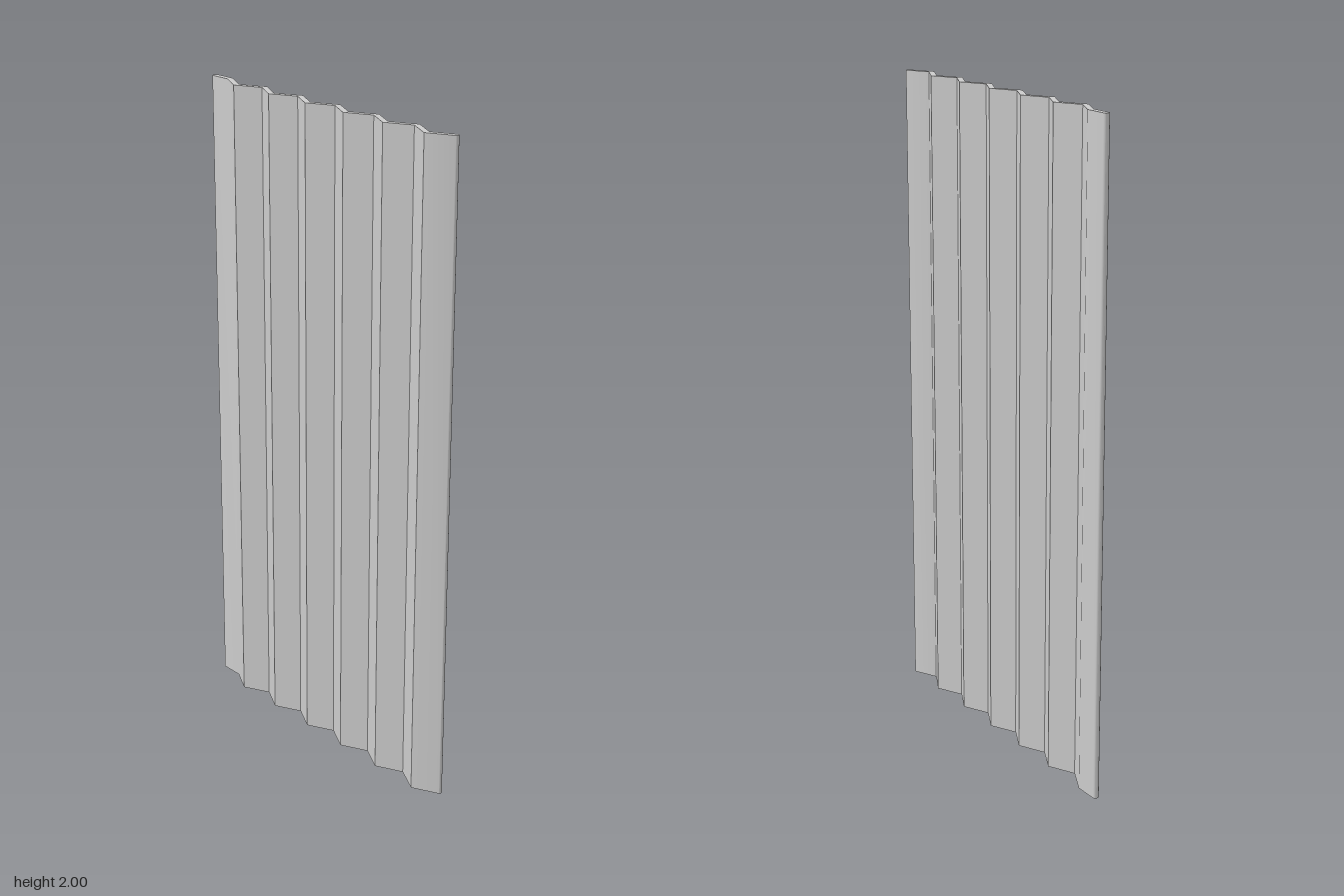
import * as THREE from 'three';
import { toCreasedNormals } from 'three/addons/utils/BufferGeometryUtils.js';

const HEIGHT = 2;
const HALF_X = 0.0097;  // half of the sheet's thickness, measured along x
const PEAK = 0.0205;    // centre line swings between -PEAK and +PEAK
const STEP = 0.0806;    // z distance from one fold to the next
const FIRST = -0.445;   // z of the first fold

// Rounded end of the sheet: tip point, outward direction, half width and corner radius
function endCap(tip, dir, half, radius) {
  const side = new THREE.Vector2(-dir.y, dir.x);
  const points = [];
  for (const s of [1, -1]) {
    for (let i = 0; i <= 3; i++) {
      const a = (s > 0 ? 3 - i : i) * Math.PI / 6;
      const along = -radius + radius * Math.cos(a);
      const across = s * (half - radius + radius * Math.sin(a));
      points.push(tip.clone().addScaledVector(dir, along).addScaledVector(side, across));
    }
  }
  return points;
}

export function createModel() {
  const group = new THREE.Group();
  group.name = 'corrugatedPanel';

  // Folds of the centre line, drawn in the plane as (x, z)
  const folds = [];
  for (let i = 0; i < 12; i++) {
    folds.push(new THREE.Vector2(i % 2 ? -PEAK : PEAK, FIRST + i * STEP));
  }
  const shifted = (dx) => folds.map((p) => new THREE.Vector2(p.x + dx, p.y));

  // Straight lip at the back, sloping lip at the front
  const slope = new THREE.Vector2(2 * PEAK, STEP).normalize();
  const backCap = endCap(new THREE.Vector2(PEAK, -0.524), new THREE.Vector2(0, -1), HALF_X, 0.008);
  const frontTip = folds[11].clone().addScaledVector(slope, 0.0895);
  const frontCap = endCap(frontTip, slope, HALF_X * slope.y, 0.006);

  // Closed outline: back cap, +x face, front cap, -x face
  const outline = [
    ...backCap.reverse(),
    ...shifted(-HALF_X),
    ...frontCap,
    ...shifted(HALF_X).reverse(),
  ];
  // Keep the cap ends on the same side as the faces they join
  if (outline[7].x > PEAK) {
    outline.splice(0, 8, ...outline.slice(0, 8).reverse());
  }

  const shape = new THREE.Shape(outline.map((p) => new THREE.Vector2(p.x, -p.y)));
  const geometry = new THREE.ExtrudeGeometry(shape, { depth: HEIGHT, bevelEnabled: false });
  geometry.rotateX(-Math.PI / 2);

  const panel = new THREE.Mesh(
    toCreasedNormals(geometry, 0.6),
    new THREE.MeshStandardMaterial({ color: 0xcccccc })
  );
  panel.name = 'zigzagSheet';
  group.add(panel);
  return group;
}
